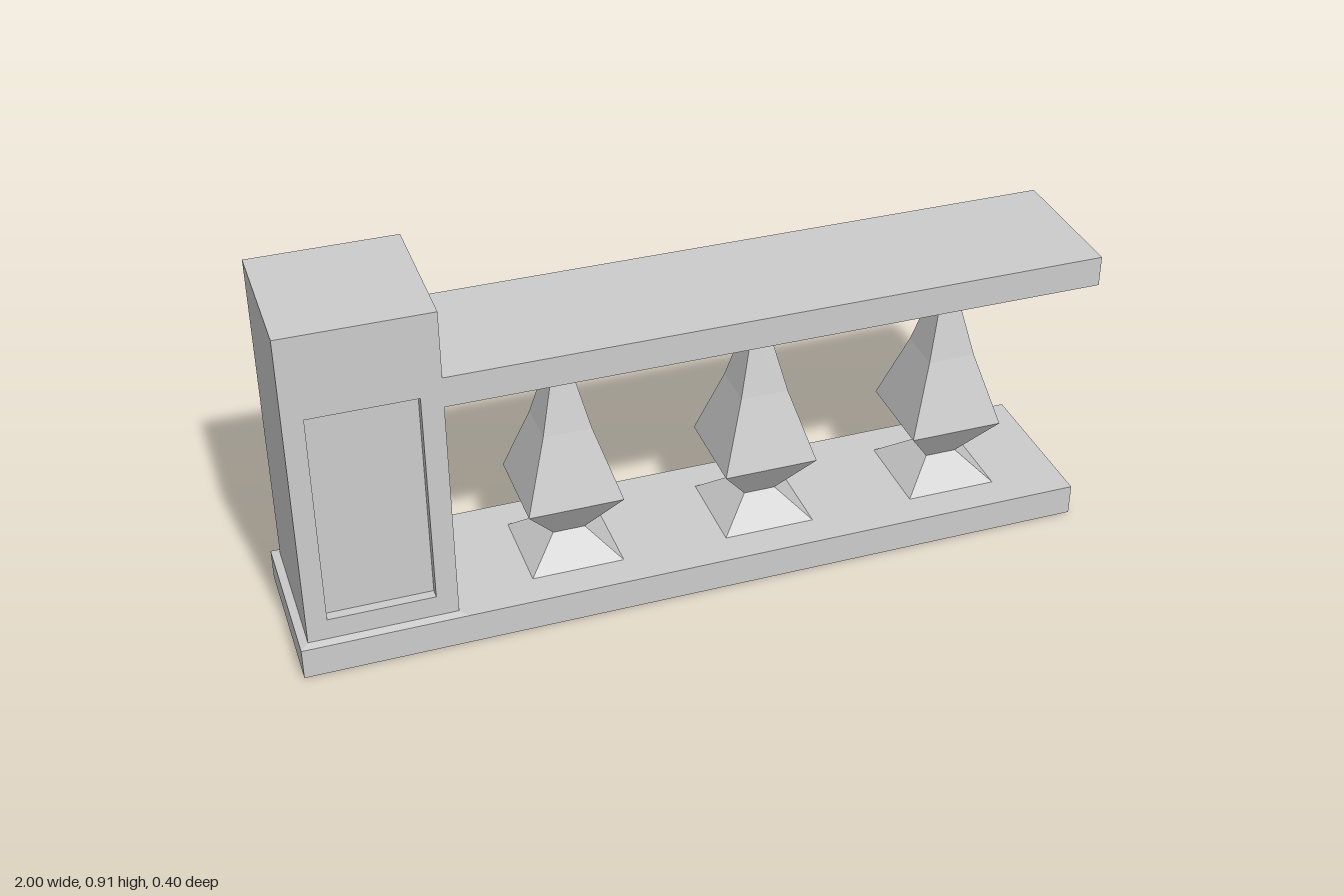
import * as THREE from 'three';

const material = new THREE.MeshStandardMaterial({ color: 0xcccccc, flatShading: true });

function add(parent, name, geometry) {
  const mesh = new THREE.Mesh(geometry, material);
  mesh.name = name;
  parent.add(mesh);
  return mesh;
}

// Box given by its minimum and maximum corners
function span(x0, x1, y0, y1, z0, z1) {
  return new THREE.BoxGeometry(x1 - x0, y1 - y0, z1 - z0)
    .translate((x0 + x1) / 2, (y0 + y1) / 2, (z0 + z1) / 2);
}

function rectangle(PathType, x0, x1, y0, y1) {
  return new PathType([
    new THREE.Vector2(x0, y0), new THREE.Vector2(x1, y0),
    new THREE.Vector2(x1, y1), new THREE.Vector2(x0, y1),
  ]);
}

export function createModel() {
  const model = new THREE.Group();
  model.name = 'balustrade';

  add(model, 'base', span(-1, 0.98, 0, 0.08, -0.2, 0.2));
  add(model, 'handrail', span(-0.62, 1, 0.663, 0.74, -0.18, 0.18));

  // Post: solid core with a front frame around a recessed panel
  const post = new THREE.Group();
  post.name = 'post';
  model.add(post);
  const recess = 0.025;
  add(post, 'postCore', span(-0.98, -0.62, 0.08, 0.91, -0.18, 0.18 - recess));
  const frame = rectangle(THREE.Shape, -0.98, -0.62, 0.08, 0.91);
  frame.holes.push(rectangle(THREE.Path, -0.93, -0.672, 0.14, 0.697));
  add(post, 'panelFrame', new THREE.ExtrudeGeometry(frame, { depth: recess, bevelEnabled: false })
    .translate(0, 0, 0.18 - recess));

  // Shallow sloped footing: a box narrowed at the top
  const footing = span(-1, -0.6, 0.08, 0.085, -0.2, 0.2);
  const p = footing.attributes.position;
  for (let i = 0; i < p.count; i++) {
    if (p.getY(i) > 0.0825) p.setXYZ(i, -0.8 + (p.getX(i) + 0.8) * 0.9, 0.085, p.getZ(i) * 0.9);
  }
  add(post, 'postFooting', footing);

  // Square balusters: half width and height up the profile
  const profile = [[0.115, 0.08], [0.04, 0.148], [0.118, 0.263], [0.06, 0.445], [0.025, 0.59], [0.011, 0.665]]
    .map(([half, y]) => new THREE.Vector2(half * Math.SQRT2, y));
  const balusterGeometry = new THREE.LatheGeometry(profile, 4, Math.PI / 4);
  [-0.307, 0.188, 0.683].forEach((x, i) => {
    add(model, `baluster${i + 1}`, balusterGeometry).position.x = x;
  });

  return model;
}
